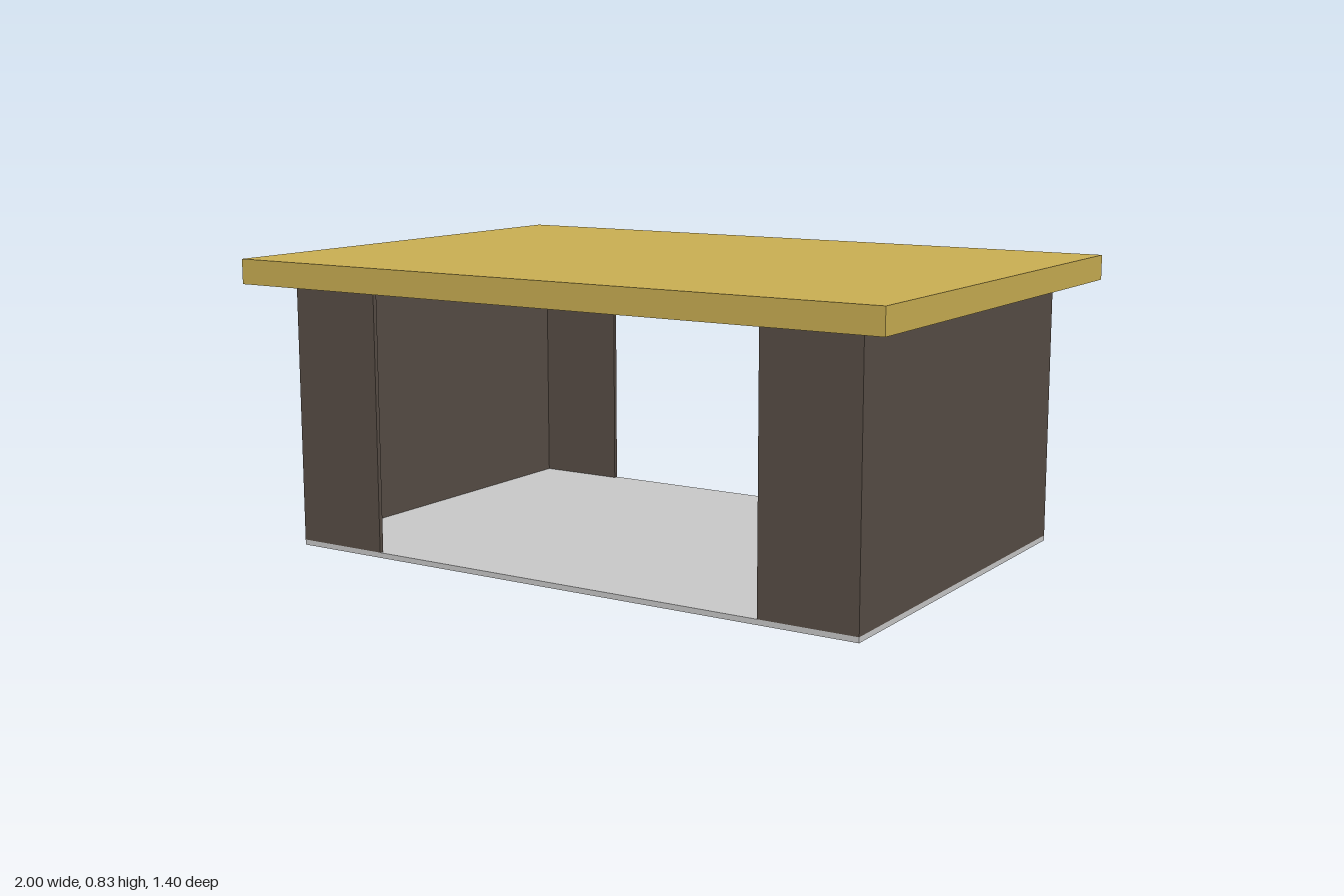
import * as THREE from 'three';

const yellow = new THREE.MeshStandardMaterial({ color: 0xc9ae52, name: 'mustard yellow' });
const brown = new THREE.MeshStandardMaterial({ color: 0x574d45, name: 'dark brown' });
const grey = new THREE.MeshStandardMaterial({ color: 0xc8c8c8, name: 'light grey' });

const W = 0.895, D = 0.595; // half width and depth of the body
const T = 0.013;            // wall thickness
const OPEN = 0.612;         // half width of the front and back openings
const FLOOR = 0.015, ROOF = 0.762, TOP = 0.833;

// Box between two heights, centred on x and z
function slab(name, material, width, depth, y0, y1) {
  const mesh = new THREE.Mesh(new THREE.BoxGeometry(width, y1 - y0, depth), material);
  mesh.name = name;
  mesh.position.y = (y0 + y1) / 2;
  return mesh;
}

// Side wall whose ends fold inward, forming a C-shaped plan
function sideWall(name) {
  const plan = new THREE.Shape([
    [OPEN, -D], [W, -D], [W, D], [OPEN, D],
    [OPEN, D - T], [W - T, D - T], [W - T, -D + T], [OPEN, -D + T],
  ].map(([x, z]) => new THREE.Vector2(x, z)));
  const geometry = new THREE.ExtrudeGeometry(plan, { depth: ROOF - FLOOR, bevelEnabled: false });
  geometry.rotateX(-Math.PI / 2);
  const mesh = new THREE.Mesh(geometry, brown);
  mesh.name = name;
  mesh.position.y = FLOOR;
  return mesh;
}

export function createModel() {
  const group = new THREE.Group();
  group.name = 'shelter';

  group.add(slab('floor', grey, 2 * W, 2 * D, 0, FLOOR));

  const left = sideWall('leftWall');
  const right = sideWall('rightWall');
  right.rotation.y = Math.PI;
  group.add(left, right);

  // Thin ceiling lining between the walls, under the overhanging roof
  group.add(slab('ceiling', grey, 2 * OPEN, 2 * D, ROOF - 0.003, ROOF));
  for (const s of [-1, 1]) {
    const lining = slab('ceilingEdge', grey, W - T - OPEN, 2 * (D - T), ROOF - 0.003, ROOF);
    lining.position.x = s * (W - T + OPEN) / 2;
    group.add(lining);
  }
  group.add(slab('roof', yellow, 2, 1.4, ROOF, TOP));
  return group;
}
